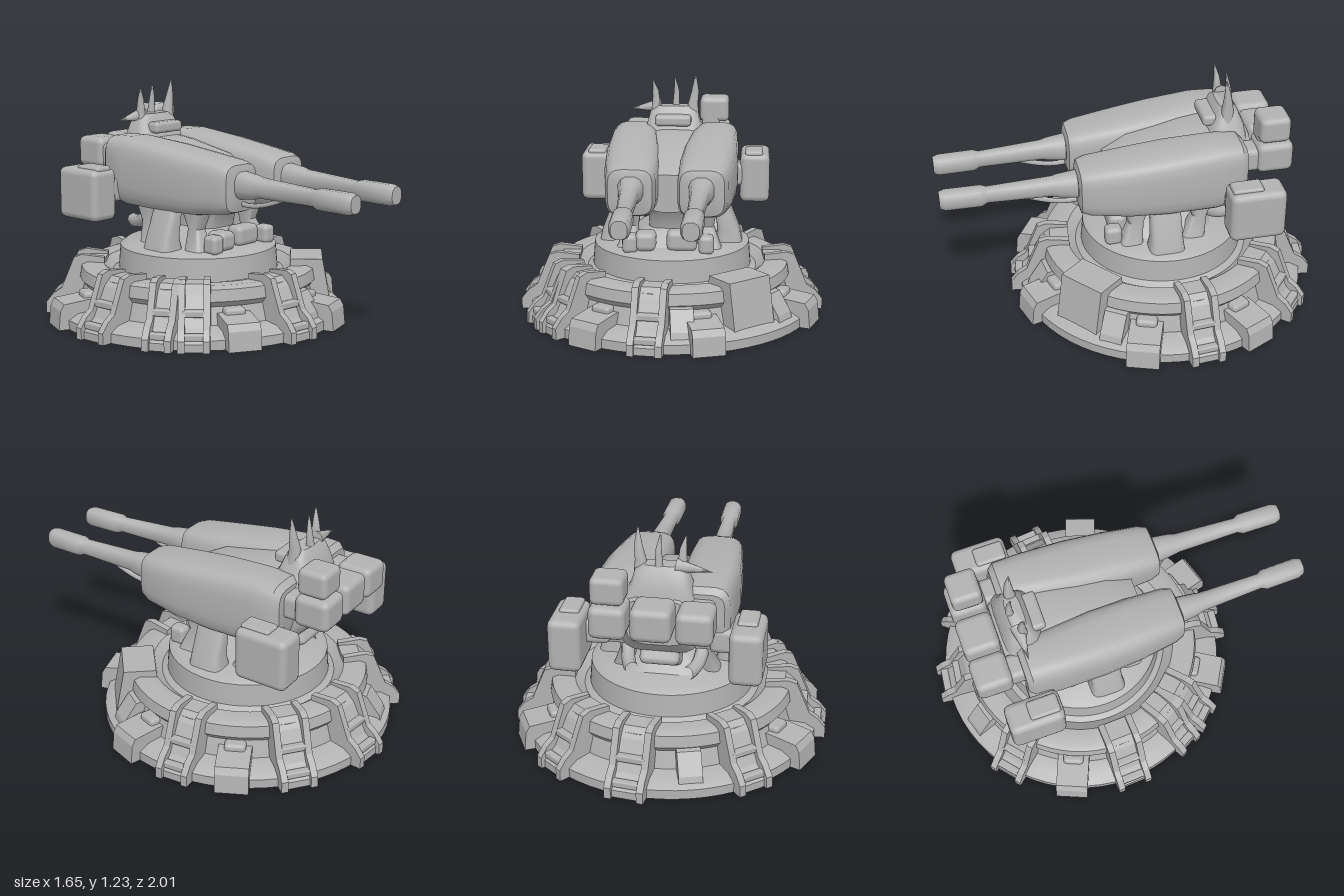
import * as THREE from 'three';
import { toCreasedNormals } from 'three/addons/utils/BufferGeometryUtils.js';
import { RoundedBoxGeometry } from 'three/addons/geometries/RoundedBoxGeometry.js';

const ZC = -0.18; // centre of the round base

export function createModel() {
  const root = new THREE.Group();
  root.name = 'twinBarrelTurret';
  const grey = new THREE.MeshStandardMaterial({ color: 0xb2b2b2 });
  grey.name = 'stone grey';

  const add = (name, geo, parent = root) => {
    const m = new THREE.Mesh(geo, grey);
    m.name = name;
    parent.add(m);
    return m;
  };

  const box = (name, x, y, z, w, h, d, r = 0.03, parent = root) => {
    const m = add(name, new RoundedBoxGeometry(w, h, d, 2, r), parent);
    m.position.set(x, y, z);
    return m;
  };

  // Skin rounded-square sections [z, cx, cy, halfWidth, halfHeight] running along +z
  const loft = (sections, power = 0.5, n = 20) => {
    const pos = [], idx = [];
    const bend = v => Math.sign(v) * Math.abs(v) ** power;
    for (const [z, cx, cy, hw, hh] of sections)
      for (let i = 0; i < n; i++) {
        const a = ((i + 0.5) / n) * Math.PI * 2;
        pos.push(cx + hw * bend(Math.cos(a)), cy + hh * bend(Math.sin(a)), z);
      }
    const last = sections.length - 1;
    for (let s = 0; s < last; s++)
      for (let i = 0; i < n; i++) {
        const a = s * n + i, b = s * n + (i + 1) % n;
        idx.push(a, b, b + n, a, b + n, a + n);
      }
    for (let i = 1; i < n - 1; i++) {
      idx.push(0, i + 1, i);
      idx.push(last * n, last * n + i, last * n + i + 1);
    }
    const g = new THREE.BufferGeometry();
    g.setAttribute('position', new THREE.Float32BufferAttribute(pos, 3));
    g.setIndex(idx);
    return toCreasedNormals(g, 0.7);
  };

  // Upright version: sections [y, cx, cz, halfWidth, halfDepth]
  const post = (sections, power) =>
    loft(sections.map(([y, x, z, w, d]) => [y, x, -z, w, d]), power).rotateX(-Math.PI / 2);

  // Round stepped base with rim, gutter and drum
  const profile = [[0, 0.01], [0.77, 0.01], [0.77, 0.06], [0.72, 0.09], [0.64, 0.1], [0.615, 0.19],
    [0.64, 0.22], [0.63, 0.28], [0.6, 0.295], [0.51, 0.29], [0.46, 0.25], [0.43, 0.27],
    [0.42, 0.39], [0.39, 0.41], [0, 0.42]].map(p => new THREE.Vector2(...p));
  const base = add('steppedBase', toCreasedNormals(new THREE.LatheGeometry(profile, 64), 0.6));
  base.position.z = ZC;

  // Radial slab: outline in (radius, height), given width and sideways offset
  const slab = (outline, width, offset = 0) =>
    new THREE.ExtrudeGeometry(new THREE.Shape(outline.map(p => new THREE.Vector2(...p))),
      { depth: width, bevelEnabled: false }).translate(0, 0, offset - width / 2);

  const rail = [[0.5, 0], [0.82, 0], [0.82, 0.06], [0.78, 0.11], [0.735, 0.14], [0.665, 0.31], [0.62, 0.325], [0.5, 0.31]];
  const channel = [[0.5, 0], [0.8, 0], [0.8, 0.04], [0.73, 0.1], [0.65, 0.25], [0.6, 0.295], [0.5, 0.295]];
  const pier = [[0.46, 0], [0.74, 0], [0.72, 0.05], [0.67, 0.32], [0.5, 0.32]];
  const step = [[0.55, 0], [0.82, 0], [0.81, 0.1], [0.79, 0.135], [0.65, 0.15], [0.55, 0.15]];
  const stub = [[0.55, 0], [0.76, 0], [0.73, 0.1], [0.66, 0.2], [0.55, 0.22]];

  const spoke = (name, degrees) => {
    const g = new THREE.Group();
    g.name = name;
    g.position.set(0, 0.01, ZC);
    g.rotation.y = -THREE.MathUtils.degToRad(degrees);
    root.add(g);
    return g;
  };

  // Sloped buttresses with raised side rails and rungs
  for (const [deg, w] of [[-83, 0.2], [-51, 0.19], [-5, 0.18], [96, 0.18], [138, 0.16], [151, 0.15], [178, 0.19], [230, 0.19]]) {
    const g = spoke('buttress', deg);
    for (const s of [-1, 1]) add('buttressRail', slab(rail, 0.035, s * (w / 2 - 0.0175)), g);
    add('buttressChannel', slab(channel, w - 0.06), g);
    for (const [r, y] of [[0.775, 0.07], [0.7, 0.17]])
      box('buttressRung', r, y, 0, 0.04, 0.035, w - 0.04, 0.008, g);
  }
  // Low blocks at the rim
  for (const deg of [-27, 19, 73, 120, 203]) {
    const g = spoke('rimBlock', deg);
    add('rimStep', slab(step, 0.17), g);
    box('rimStepBack', 0.62, 0.14, 0, 0.1, 0.08, 0.11, 0.02, g);
  }
  for (const deg of [33, 253, 275, 82]) add('rimStub', slab(stub, 0.12), spoke('rimStubGroup', deg));
  add('widePier', slab(pier, 0.26), spoke('pierGroup', 50));

  // Central pedestal and hull
  add('pedestal', post([[0.4, 0, -0.17, 0.25, 0.27], [0.46, 0, -0.17, 0.2, 0.22], [0.5, 0, -0.17, 0.12, 0.18],
    [0.58, 0, -0.17, 0.12, 0.2], [0.66, 0, -0.17, 0.16, 0.28]]));
  add('centreHull', loft([[-0.62, 0, 0.8, 0.15, 0.12], [-0.54, 0, 0.78, 0.2, 0.18], [-0.3, 0, 0.76, 0.16, 0.18],
    [0, 0, 0.74, 0.12, 0.15], [0.13, 0, 0.72, 0.1, 0.1]]));
  box('frontHatch', -0.12, 0.46, 0.1, 0.11, 0.1, 0.12);
  box('frontLedge', 0.07, 0.46, 0.08, 0.16, 0.11, 0.1);
  const counter = box('rearCounterweight', 0, 0.6, -0.46, 0.2, 0.2, 0.17);
  counter.rotation.x = 0.5;

  for (const s of [-1, 1]) {
    const side = new THREE.Group();
    side.name = s > 0 ? 'leftSide' : 'rightSide';
    root.add(side);

    // Gun housing, tapering toward the front
    add('gunHousing', loft([[-0.56, s * 0.225, 0.83, 0.1, 0.11], [-0.53, s * 0.225, 0.8, 0.125, 0.17],
      [-0.4, s * 0.22, 0.79, 0.135, 0.185], [-0.15, s * 0.205, 0.775, 0.15, 0.175], [0.05, s * 0.195, 0.765, 0.145, 0.16],
      [0.25, s * 0.185, 0.765, 0.13, 0.135], [0.295, s * 0.183, 0.765, 0.115, 0.12], [0.305, s * 0.182, 0.77, 0.085, 0.085]]), side);

    // Barrel with socket and thicker muzzle
    add('barrel', loft([[0.28, s * 0.18, 0.78, 0.07, 0.075], [0.4, s * 0.178, 0.78, 0.055, 0.06], [0.43, s * 0.176, 0.78, 0.048, 0.052],
      [0.76, s * 0.168, 0.77, 0.038, 0.043], [0.79, s * 0.168, 0.768, 0.052, 0.054], [0.97, s * 0.165, 0.766, 0.052, 0.054],
      [1, s * 0.164, 0.766, 0.04, 0.045]], 0.8, 12), side);
    const hose = new THREE.QuadraticBezierCurve3(new THREE.Vector3(s * 0.175, 0.735, 0.56),
      new THREE.Vector3(s * 0.178, 0.66, 0.38), new THREE.Vector3(s * 0.18, 0.69, 0.28));
    add('barrelHose', new THREE.TubeGeometry(hose, 8, 0.013, 6), side);

    // Yoke leg and braces between drum and housing
    add('yokeLeg', post([[0.4, s * 0.31, -0.14, 0.075, 0.095], [0.47, s * 0.31, -0.14, 0.06, 0.085],
      [0.62, s * 0.27, -0.14, 0.04, 0.08], [0.68, s * 0.25, -0.14, 0.04, 0.07]]), side);
    for (const [z0, z1] of [[0.03, 0.0], [-0.3, -0.34]])
      add('yokeBrace', post([[0.4, s * 0.22, z0, 0.06, 0.06], [0.52, s * 0.2, z1, 0.035, 0.04], [0.66, s * 0.2, z1, 0.06, 0.09]]), side);
    box('drumBox', s * 0.2, 0.45, 0.12, 0.08, 0.1, 0.09, 0.025, side);
    const pipe = new THREE.QuadraticBezierCurve3(new THREE.Vector3(s * 0.19, 0.6, -0.32),
      new THREE.Vector3(s * 0.2, 0.47, -0.42), new THREE.Vector3(s * 0.14, 0.49, -0.54));
    add('rearPipe', new THREE.TubeGeometry(pipe, 10, 0.035, 8), side);

    // Side pod on a short arm
    box('sidePodArm', s * 0.33, 0.69, -0.5, 0.16, 0.13, 0.13, 0.03, side);
    box('sidePod', s * 0.445, 0.672, -0.57, 0.165, 0.275, 0.29, 0.035, side);
    box('sidePodCap', s * 0.44, 0.8, -0.52, 0.1, 0.05, 0.16, 0.015, side);

    // Rear outer block and neck
    box('rearNeck', s * 0.215, 0.85, -0.59, 0.13, 0.13, 0.14, 0.03, side);
    box('rearBlock', s * 0.21, 0.862, -0.715, 0.18, 0.165, 0.19, 0.035, side);
  }

  // Middle rear block and the offset block above
  box('rearMiddleBlock', 0, 0.865, -0.715, 0.2, 0.17, 0.19, 0.035);
  box('upperRearNeck', 0.19, 0.97, -0.68, 0.1, 0.08, 0.1, 0.02);
  box('upperRearBlock', 0.21, 1.02, -0.71, 0.165, 0.14, 0.16, 0.03);

  // Crest with curved spikes
  add('crestBase', post([[0.9, 0, -0.5, 0.19, 0.11], [0.97, -0.01, -0.51, 0.15, 0.09],
    [1.04, -0.01, -0.51, 0.13, 0.06], [1.07, -0.01, -0.51, 0.09, 0.04]]));
  box('crestBrow', -0.01, 1.0, -0.42, 0.2, 0.06, 0.08, 0.02);
  const spike = (x, tipX, top, z, w) => add('crestSpike', post([[1.0, x, z, w, w], [1.08, x, z - 0.005, w * 0.8, w * 0.8],
    [1.15, (x + tipX) / 2 + 0.005, z, w * 0.6, w * 0.5], [top, tipX, z + 0.01, 0.004, 0.004]], 0.8));
  spike(-0.11, -0.125, 1.21, -0.5, 0.028);
  spike(0, -0.005, 1.22, -0.53, 0.024);
  spike(0.095, 0.11, 1.24, -0.5, 0.035);
  const horn = add('crestHorn', new THREE.ConeGeometry(0.04, 0.18, 8));
  horn.position.set(-0.17, 1.055, -0.52);
  horn.rotation.z = Math.PI / 2 + 0.12;

  return root;
}
